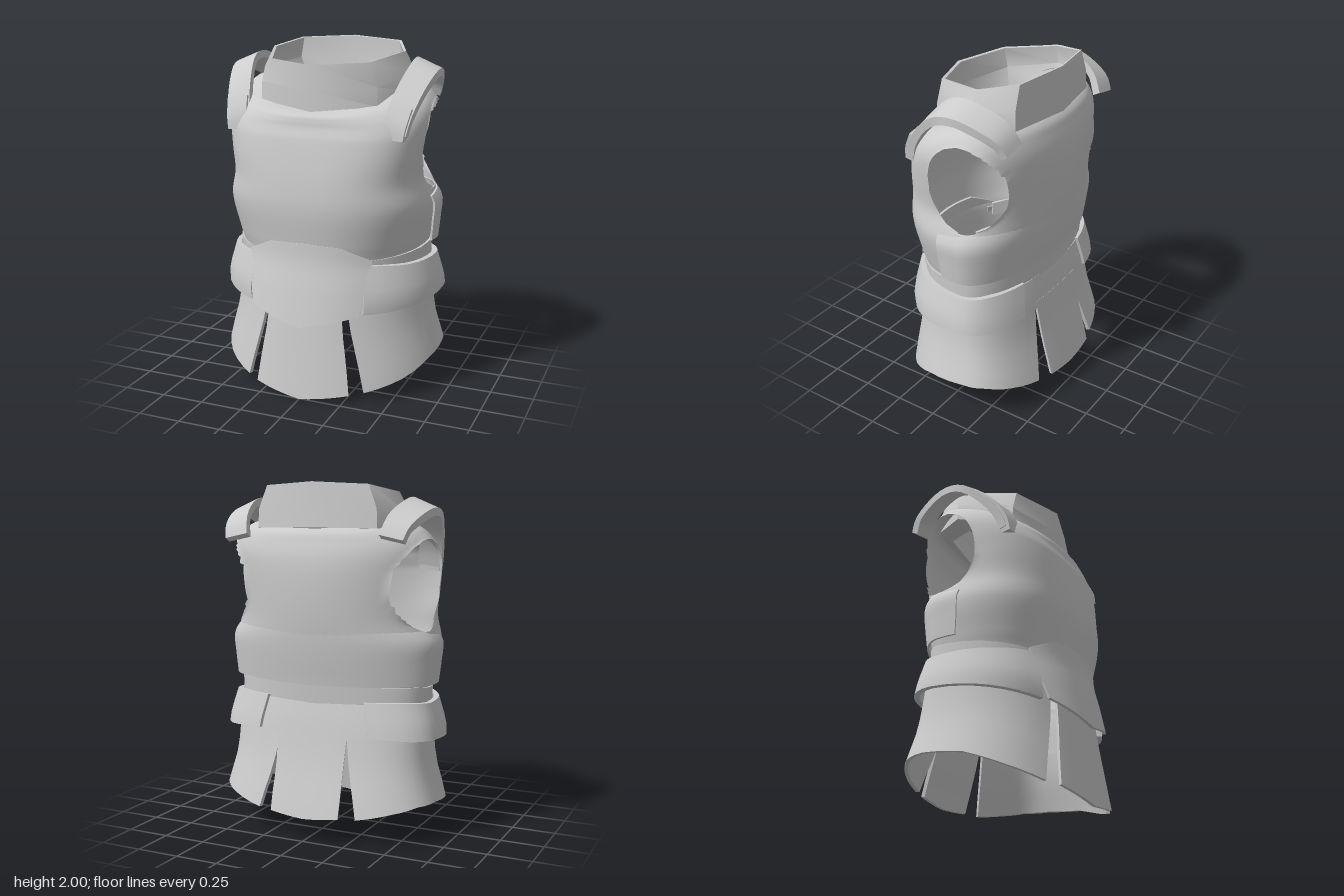
import * as THREE from 'three';
import { toCreasedNormals } from 'three/addons/utils/BufferGeometryUtils.js';

const ZC = -0.1; // depth of the widest line of the torso
const lerp = THREE.MathUtils.lerp;

// Smooth sample of rows [key, a, b, ...] sorted by key
function sample(rows, k) {
  const last = rows.length - 1;
  let i = 0;
  while (i < last - 1 && k > rows[i + 1][0]) i++;
  const h = rows[i + 1][0] - rows[i][0], f = THREE.MathUtils.clamp((k - rows[i][0]) / h, 0, 1);
  const slope = (r, n) => {
    const a = rows[Math.max(r - 1, 0)], b = rows[Math.min(r + 1, last)];
    return (b[n] - a[n]) / (b[0] - a[0]);
  };
  return rows[i].slice(1).map((a, m) => {
    const n = m + 1, b = rows[i + 1][n], g = 1 - f;
    return a * g * g * (1 + 2 * f) + b * f * f * (3 - 2 * f) + h * f * g * (slope(i, n) * g - slope(i + 1, n) * f);
  });
}
// Even sample along a plain list, u from 0 to 1
function along(list, u) {
  const f = u * (list.length - 1), i = Math.min(Math.floor(f), list.length - 2);
  return lerp(list[i], list[i + 1], f - i);
}
// Torso cross-section: t = 0 is the front, PI/2 the left side, PI the back;
// half width, front, back, then squareness of the front and back halves
function ringPoint(t, y, [w, zf, zb, pf = 2.2, pb = 2.6], off = 0) {
  const c = Math.cos(t), s = Math.sin(t), e = 2 / (c > 0 ? pf : pb);
  const depth = c > 0 ? zf + off - ZC : ZC - zb + off;
  return [Math.sign(s) * (w + off) * Math.abs(s) ** e, y, ZC + Math.sign(c) * depth * Math.abs(c) ** e];
}
function build(pos, idx, crease) {
  const g = new THREE.BufferGeometry();
  g.setAttribute('position', new THREE.Float32BufferAttribute(pos, 3));
  g.setIndex(idx);
  return toCreasedNormals(g, crease);
}
// Joins closed cross-sections (outer points, then inner points reversed)
function loft(sections, closed = false, crease = 0.7) {
  const n = sections[0].length, m = sections.length, idx = [];
  for (let i = 0; i < (closed ? m : m - 1); i++) {
    for (let j = 0; j < n; j++) {
      const a = i * n + j, b = i * n + (j + 1) % n;
      const c = ((i + 1) % m) * n + j, d = ((i + 1) % m) * n + (j + 1) % n;
      idx.push(a, b, c, b, d, c);
    }
  }
  if (!closed) {
    for (let j = 0; j < n / 2 - 1; j++) {
      const a = j, b = j + 1, c = n - 2 - j, d = n - 1 - j, o = (m - 1) * n;
      idx.push(a, c, b, a, d, c, o + a, o + b, o + c, o + a, o + c, o + d);
    }
  }
  return build(sections.flat(2), idx, crease);
}
// Curved plate around the torso; t0 and t1 are [at top, at bottom]
function plate(rows, t0, t1, yTop, yBot, { thick = 0.02, nu = 12, nv = 5 } = {}) {
  const sections = [];
  for (let i = 0; i <= nu; i++) {
    const u = i / nu, outer = [], inner = [];
    for (let j = 0; j <= nv; j++) {
      const v = j / nv, y = lerp(along(yTop, u), along(yBot, u), v);
      const t = lerp(lerp(t0[0], t1[0], u), lerp(t0[1], t1[1], u), v), p = sample(rows, y);
      outer.push(ringPoint(t, y, p));
      inner.unshift(ringPoint(t, y, p, -thick));
    }
    sections.push([...outer, ...inner]);
  }
  return loft(sections);
}

// Torso shell with a saddle-shaped neckline and cut arm openings
function torsoGeometry() {
  const rows = [
    [0.56, 0.56, 0.42, -0.36, 2.2, 2.2], [0.8, 0.56, 0.408, -0.335, 2.2, 2.1],
    [0.9, 0.58, 0.42, -0.36, 2.3, 2.05], [1.1, 0.615, 0.44, -0.4, 2.5, 2.05],
    [1.25, 0.58, 0.43, -0.42, 2.75, 2.05], [1.4, 0.59, 0.405, -0.43, 3, 2.05],
    [1.52, 0.605, 0.38, -0.43, 3, 2.1], [1.62, 0.605, 0.362, -0.42, 2.8, 2.2],
    [1.7, 0.575, 0.355, -0.4, 2.5, 2.3], [1.76, 0.5, 0.335, -0.38, 2.3, 2.4],
    [1.8, 0.36, 0.23, -0.34, 2.2, 2.6]];
  const nu = 80, nv = 56, pos = [], idx = [], cut = [];
  for (let j = 0; j <= nv; j++) {
    const v = lerp(0.56, 1.8, j / nv), k = Math.max(0, (v - 1.5) / 0.3);
    for (let i = 0; i < nu; i++) {
      const t = (i / nu) * Math.PI * 2, c = Math.cos(t);
      const drop = c > 0 ? lerp(0.02, -0.16, c) : lerp(0.02, -0.04, -c);
      const p = ringPoint(t, v + k * drop, sample(rows, v));
      // vertices inside the arm opening slide onto its rim
      const dz = (p[2] + 0.12) / 0.215, dy = (p[1] - 1.435) / 0.255, r = Math.hypot(dz, dy);
      const inside = Math.abs(p[0]) > 0.35 && r < 1;
      if (inside) {
        p[2] = -0.12 + (0.215 * dz) / Math.max(r, 1e-4);
        p[1] = 1.435 + (0.255 * dy) / Math.max(r, 1e-4);
      }
      cut.push(inside);
      pos.push(...p);
    }
  }
  const tri = (a, b, c) => { if (!(cut[a] && cut[b] && cut[c])) idx.push(a, b, c); };
  for (let j = 0; j < nv; j++) {
    for (let i = 0; i < nu; i++) {
      const a = j * nu + i, b = j * nu + (i + 1) % nu;
      tri(a, b, b + nu);
      tri(a, b + nu, a + nu);
    }
  }
  return build(pos, idx, 0.9);
}

// Collar: wide at the base, rim sloping down to the front, lining folding inwards
function collarGeometry() {
  const sections = [];
  for (let i = 0; i < 8; i++) {
    const t = (i / 8) * Math.PI * 2, f = (Math.cos(t) + 1) / 2;
    const top = lerp(2, 1.89, f), low = lerp(1.75, 1.635, f * f);
    sections.push([
      ringPoint(t, low, [0.48, 0.312, -0.385]),
      ringPoint(t, lerp(low, top, 0.45), [0.475, 0.315, -0.378]),
      ringPoint(t, top, [0.41, 0.31, -0.37]),
      ringPoint(t, top - 0.003, [0.395, 0.292, -0.358]),
      ringPoint(t, lerp(low, top, 0.5), [0.42, 0.28, -0.355]),
      ringPoint(t, low - 0.01, [0.35, 0.22, -0.335])]);
  }
  return loft(sections, true, 0.85);
}

// Flat strap along path points [x, y, z], tilted down towards the arm
function strapGeometry(side, path, width, thick, n) {
  const curve = new THREE.CatmullRomCurve3(path.map(p => new THREE.Vector3(...p)));
  const sections = [];
  for (let i = 0; i <= n; i++) {
    const p = curve.getPoint(i / n), d = curve.getTangent(i / n);
    const up = new THREE.Vector3(0, -d.z, d.y).normalize();
    const across = new THREE.Vector3(1, -0.42 * Math.max(0, up.y), 0).multiplyScalar(width / 2);
    const at = (a, h) => {
      const q = p.clone().addScaledVector(across, a).addScaledVector(up, h);
      return [side * q.x, q.y, q.z];
    };
    sections.push([at(-1, thick / 2), at(1, thick / 2), at(1, -thick / 2), at(-1, -thick / 2)]);
  }
  return loft(sections, false, 0.6);
}

export function createModel() {
  const group = new THREE.Group();
  const grey = new THREE.MeshStandardMaterial({ color: 0xcccccc, side: THREE.DoubleSide });
  grey.name = 'plain grey';
  const add = (name, geometry) => {
    const mesh = new THREE.Mesh(geometry, grey);
    mesh.name = name;
    group.add(mesh);
  };
  const PI = Math.PI;

  add('torsoShell', torsoGeometry());
  add('collar', collarGeometry());

  // Lower back shell, flared under the arms and blending into the torso above
  const rib = [[0.88, 0.624, 0.42, -0.37, 2.3, 2.05], [1, 0.635, 0.44, -0.39, 2.4, 2.05],
    [1.12, 0.64, 0.44, -0.406, 2.5, 2.05], [1.19, 0.594, 0.44, -0.412, 2.6, 2.05]];
  add('backRibPlate', plate(rib, [1.42, 1.42], [2 * PI - 1.42, 2 * PI - 1.42],
    [1.15, 1.185, 1.185, 1.185, 1.185, 1.185, 1.185, 1.185, 1.15], [0.88, 0.88, 0.87, 0.88, 0.88],
    { nu: 32, nv: 8, thick: 0.012 }));

  // Waist: band all round, back belt and pointed front flap
  const waist = [[0.74, 0.58, 0.4, -0.35, 2.2, 2.2], [0.88, 0.585, 0.41, -0.362, 2.2, 2.1]];
  add('waistBand', plate(waist, [0.6, 0.6], [2 * PI - 0.6, 2 * PI - 0.6],
    [0.82, 0.87, 0.88, 0.87, 0.82], [0.74, 0.76, 0.76, 0.76, 0.74], { nu: 28, nv: 2 }));
  const belt = [[0.5, 0.65, 0.445, -0.405, 2.3, 2.5], [0.6, 0.665, 0.45, -0.4, 2.3, 2.5],
    [0.8, 0.612, 0.41, -0.36, 2.3, 2.35]];
  const innerBelt = belt.map(([y, w, zf, zb, pf, pb]) => [y, w - 0.02, zf - 0.02, zb + 0.015, pf, pb]);
  add('backBelt', plate(innerBelt, [PI - 0.7, PI - 0.7], [PI + 0.7, PI + 0.7],
    [0.78, 0.77, 0.78], [0.6, 0.58, 0.6], { nv: 3 }));
  const flap = [[0.44, 0.62, 0.51, -0.4], [0.68, 0.6, 0.46, -0.38], [0.8, 0.585, 0.432, -0.36],
    [0.93, 0.59, 0.424, -0.36]];
  add('frontFlap', plate(flap, [-0.66, -0.523], [0.66, 0.523],
    [0.82, 0.9, 0.91, 0.9, 0.82], [0.52, 0.48, 0.44, 0.48, 0.52], { nu: 16, nv: 8 }));

  // Skirt: front and back tassets
  const skirt = [[0, 0.71, 0.505, -0.53], [0.22, 0.665, 0.475, -0.475],
    [0.42, 0.61, 0.45, -0.42], [0.66, 0.59, 0.42, -0.375]];
  const inset = skirt.map(([y, w, zf, zb]) => [y, w - 0.004, zf - 0.018, zb + 0.02]);
  add('frontTasset', plate(skirt, [-0.34, -0.385], [0.34, 0.385], [0.6, 0.6], [0.05, 0.0, 0.05]));
  add('backTasset', plate(skirt, [PI - 0.28, PI - 0.22], [PI + 0.28, PI + 0.22],
    [0.63, 0.63], [0.15, 0.13, 0.15]));

  for (const s of [1, -1]) {
    const side = s > 0 ? 'left' : 'right';
    const t = (a, b) => [s * a, s * b];
    add(side + 'Belt', plate(belt, t(0.5, 0.5), t(PI - 0.45, PI - 0.45),
      [0.8, 0.785, 0.78, 0.79, 0.79], [0.52, 0.55, 0.58, 0.585, 0.6], { nu: 16, nv: 4, thick: 0.03 }));
    add(side + 'Tasset', plate(inset, t(0.37, 0.51), t(PI - 0.25, PI - 0.36),
      [0.64, 0.66, 0.66, 0.64], [0.06, 0.12, 0.19, 0.22, 0.22, 0.19, 0.15], { nu: 18 }));
    // Shoulder strap with a thicker front tab, its back end tucked against the torso
    add(side + 'ShoulderStrap', strapGeometry(s, [
      [0.465, 1.53, 0.25], [0.485, 1.63, 0.215], [0.52, 1.76, 0.12], [0.55, 1.85, 0.0],
      [0.55, 1.865, -0.1], [0.53, 1.83, -0.22], [0.5, 1.77, -0.32], [0.475, 1.69, -0.365]], 0.14, 0.045, 20));
    add(side + 'StrapFrontTab', strapGeometry(s,
      [[0.462, 1.5, 0.262], [0.475, 1.58, 0.25], [0.492, 1.67, 0.205]], 0.125, 0.06, 4));
  }
  return group;
}
